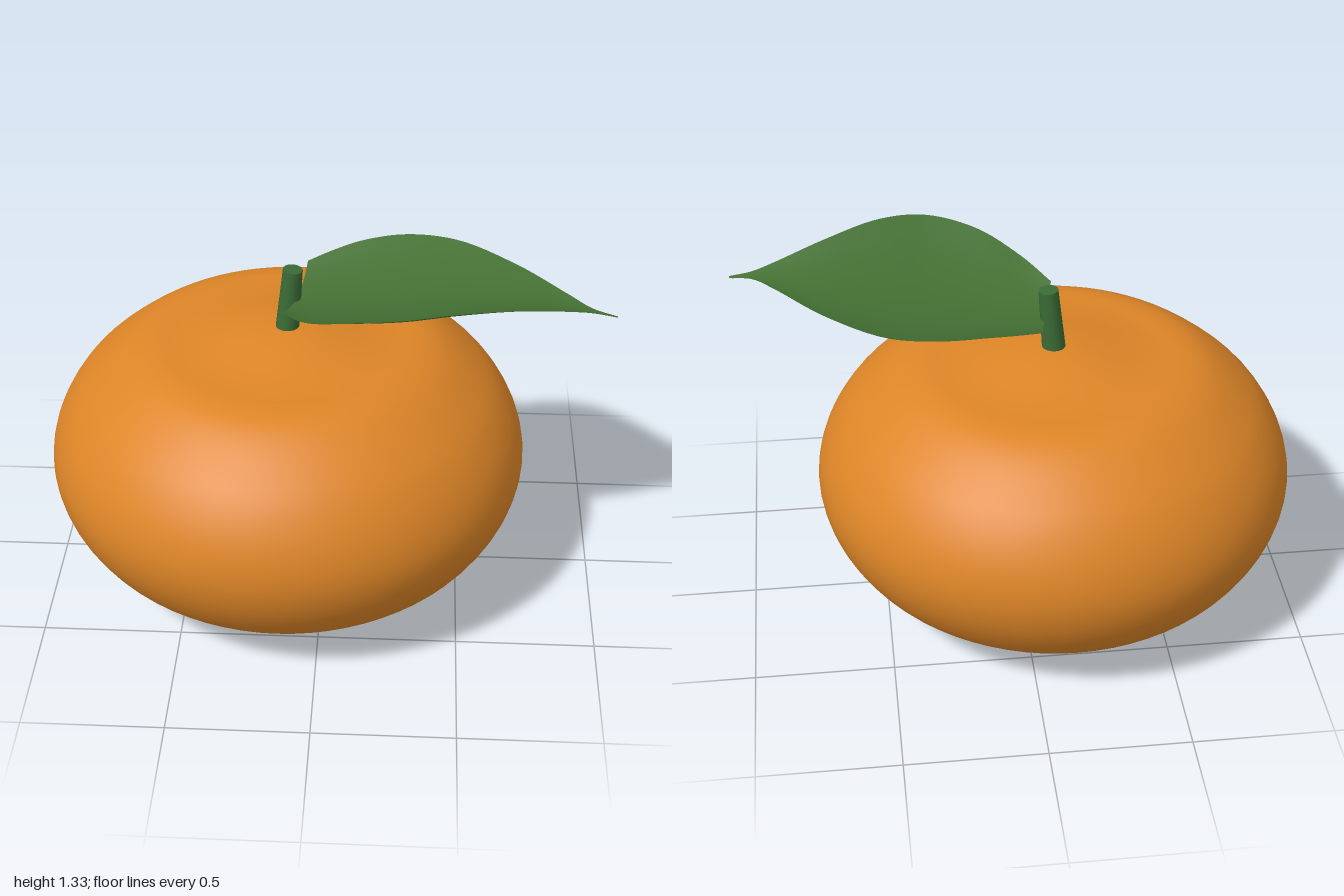
import * as THREE from 'three';

const V = (x, y, z) => new THREE.Vector3(x, y, z);

// Squat lathed body with a shallow ring dip around the centre, top and bottom
function fruitGeometry() {
  const half = [
    [0.865, 0], [0.838, 0.135], [0.765, 0.262], [0.67, 0.355], [0.57, 0.425],
    [0.48, 0.455], [0.38, 0.46], [0.28, 0.472], [0.16, 0.495], [0.07, 0.507], [0, 0.51],
  ];
  const lower = half.slice(1).reverse().map(([r, h]) => new THREE.Vector2(r, 0.513 - h));
  const upper = half.map(([r, h]) => new THREE.Vector2(r, 0.513 + h));
  const profile = new THREE.SplineCurve([...lower, ...upper]).getPoints(80);
  profile.forEach((p) => { p.x = Math.max(p.x, 0); });
  return new THREE.LatheGeometry(profile, 72);
}

// Leaf lofted between its front edge, sagging midrib and back edge
function leafGeometry() {
  const front = new THREE.CatmullRomCurve3([
    V(-0.145, 1.18, 0.18), V(-0.05, 1.22, 0.31), V(0.1, 1.285, 0.415), V(0.28, 1.327, 0.46),
    V(0.45, 1.337, 0.43), V(0.65, 1.31, 0.35), V(0.84, 1.268, 0.272), V(0.92, 1.25, 0.248), V(1, 1.236, 0.248),
  ]);
  const rib = new THREE.CatmullRomCurve3([
    V(-0.1, 1.135, 0), V(-0.01, 1.143, 0.025), V(0.1, 1.153, 0.06), V(0.28, 1.175, 0.085),
    V(0.45, 1.2, 0.1), V(0.66, 1.232, 0.145), V(0.84, 1.246, 0.2), V(0.92, 1.244, 0.226), V(1, 1.235, 0.242),
  ]);
  const back = new THREE.CatmullRomCurve3([
    V(-0.07, 1.185, -0.18), V(0.01, 1.205, -0.22), V(0.12, 1.228, -0.262), V(0.28, 1.243, -0.29),
    V(0.46, 1.245, -0.255), V(0.67, 1.245, -0.085), V(0.84, 1.247, 0.118), V(0.92, 1.243, 0.205), V(1, 1.234, 0.236),
  ]);
  const rows = 48, cols = 14, positions = [], index = [];
  for (let i = 0; i <= rows; i++) {
    const [f, m, b] = [front, rib, back].map((c) => c.getPoint(i / rows));
    for (let j = 0; j <= cols; j++) {
      const v = j / cols;
      const p = V(0, 0, 0)
        .addScaledVector(f, (1 - v) * (1 - 2 * v))
        .addScaledVector(m, 4 * v * (1 - v))
        .addScaledVector(b, v * (2 * v - 1));
      positions.push(p.x, p.y, p.z);
      if (i < rows && j < cols) {
        const a = i * (cols + 1) + j, c = a + cols + 1;
        index.push(a, c, c + 1, a, c + 1, a + 1);
      }
    }
  }
  const geometry = new THREE.BufferGeometry();
  geometry.setAttribute('position', new THREE.Float32BufferAttribute(positions, 3));
  geometry.setIndex(index);
  geometry.computeVertexNormals();
  return geometry;
}

export function createModel() {
  const peel = new THREE.MeshStandardMaterial({ color: 0xdd8527 });
  peel.name = 'orangePeel';
  const stemGreen = new THREE.MeshStandardMaterial({ color: 0x3a6b36 });
  stemGreen.name = 'stemGreen';
  const leafGreen = new THREE.MeshStandardMaterial({ color: 0x447033, side: THREE.DoubleSide });
  leafGreen.name = 'leafGreen';

  const model = new THREE.Group();
  model.name = 'citrusFruit';
  const add = (name, geometry, material) => {
    const mesh = new THREE.Mesh(geometry, material);
    mesh.name = name;
    model.add(mesh);
    return mesh;
  };

  // Body
  add('fruit', fruitGeometry(), peel).position.x = -0.135;

  // Tapered stem leaning towards the leaf
  const from = V(-0.136, 0.99, 0), to = V(-0.112, 1.25, 0);
  const axis = to.clone().sub(from);
  const stem = add('stem', new THREE.CylinderGeometry(0.035, 0.043, axis.length(), 20), stemGreen);
  stem.position.copy(from).lerp(to, 0.5);
  stem.quaternion.setFromUnitVectors(V(0, 1, 0), axis.normalize());

  // Leaf
  add('leaf', leafGeometry(), leafGreen);
  return model;
}
